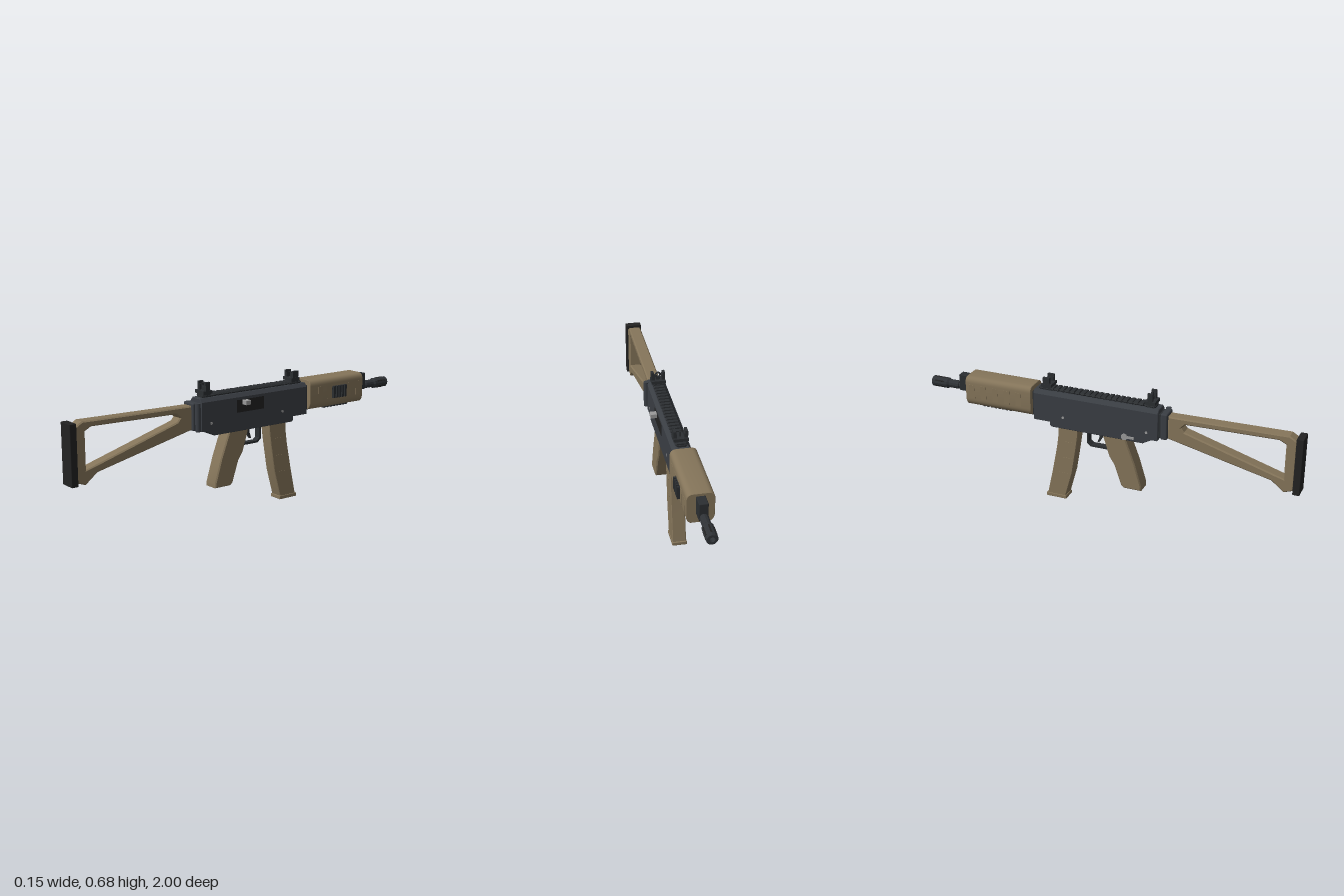
import * as THREE from 'three';
import { RoundedBoxGeometry } from 'three/addons/geometries/RoundedBoxGeometry.js';
import { toCreasedNormals } from 'three/addons/utils/BufferGeometryUtils.js';

const mat = (color, flatShading = false) => new THREE.MeshStandardMaterial({ color, flatShading });
const TAN = mat(0x85755a), STEEL = mat(0x3a3e44), DARK = mat(0x2b2e31), BLACK = mat(0x222222), GREY = mat(0x9a9a9a);
const DARK_FLAT = mat(0x2f3236, true);

export function createModel() {
  const root = new THREE.Group();
  root.name = 'rifle';
  const body = new THREE.Group();
  body.name = 'body';
  body.position.x = -0.007; // centre plane of the body; the bolt handle sticks out on the left
  root.add(body);

  const add = (name, geo, material, parent = body) => {
    const m = new THREE.Mesh(geo, material);
    m.name = name;
    parent.add(m);
    return m;
  };
  // Box given by its limits on each axis
  const box = (name, x, y, z, material, parent, round = 0) => {
    const s = [x, y, z].map(r => Math.abs(r[1] - r[0]));
    const geo = round ? new RoundedBoxGeometry(...s, 2, round) : new THREE.BoxGeometry(...s);
    const m = add(name, geo, material, parent);
    m.position.set(...[x, y, z].map(r => (r[0] + r[1]) / 2));
    return m;
  };
  // Side outline of [z, y] points, extruded across x with bevelled edges; a hole runs the opposite way round
  const side = (name, pts, width, bevel, material, hole) => {
    const v = p => p.map(([z, y]) => new THREE.Vector2(-z, y));
    const shape = new THREE.Shape(v(pts));
    if (hole) shape.holes.push(new THREE.Path(v(hole)));
    const geo = new THREE.ExtrudeGeometry(shape, {
      depth: width - 2 * bevel, bevelEnabled: bevel > 0, bevelSize: bevel,
      bevelThickness: bevel, bevelOffset: -bevel, bevelSegments: 1
    });
    geo.translate(0, 0, -(width - 2 * bevel) / 2).rotateY(Math.PI / 2);
    return add(name, toCreasedNormals(geo, 0.4), material);
  };
  // Cross-section in x, y extruded from z0 to z1
  const section = (name, shape, z0, z1, bevel, material) => {
    const geo = new THREE.ExtrudeGeometry(shape, {
      depth: z1 - z0 - 2 * bevel, bevelEnabled: bevel > 0, bevelSize: bevel,
      bevelThickness: bevel, bevelOffset: -bevel, bevelSegments: 1, curveSegments: 6
    });
    geo.translate(0, 0, z0 + bevel);
    return add(name, toCreasedNormals(geo, 0.5), material);
  };
  const poly = pts => new THREE.Shape(pts.map(p => new THREE.Vector2(...p)));

  // Stock: open frame, butt pad, collar and hinge
  side('stock',
    [[0.968, 0.56], [0.93, 0.583], [0.326, 0.574], [0.326, 0.455], [0.856, 0.332], [0.92, 0.281], [0.968, 0.298]],
    0.064, 0.006, TAN,
    [[0.916, 0.353], [0.866, 0.368], [0.41, 0.505], [0.395, 0.524], [0.415, 0.545], [0.882, 0.553], [0.916, 0.535]]);
  box('buttPad', [-0.042, 0.042], [0.283, 0.58], [0.965, 1], BLACK, body, 0.003);
  box('stockCollar', [-0.042, 0.042], [0.449, 0.588], [0.29, 0.326], STEEL, body, 0.008);
  box('stockCollarNeck', [-0.038, 0.038], [0.46, 0.58], [0.27, 0.295], DARK);
  const hinge = add('stockHinge', new THREE.CylinderGeometry(0.014, 0.014, 0.14, 16), STEEL);
  hinge.position.set(0.048, 0.516, 0.302);

  // Receiver
  section('receiver', poly([[-0.047, 0.44], [0.047, 0.44], [0.047, 0.585], [0.032, 0.604], [-0.032, 0.604], [-0.047, 0.585]]),
    -0.394, 0.28, 0.003, STEEL);
  side('lowerReceiver', [[0.26, 0.445], [0.2, 0.411], [-0.298, 0.411], [-0.305, 0.418], [-0.305, 0.445]], 0.088, 0.003, STEEL);
  box('ejectionPort', [0.04, 0.0485], [0.508, 0.572], [-0.107, 0.064], BLACK);
  box('boltHandle', [0.045, 0.081], [0.547, 0.57], [0, 0.032], GREY, body, 0.002);
  for (const z of [0.22, -0.23]) {
    const pin = add('receiverPin', new THREE.CylinderGeometry(0.007, 0.007, 0.097, 12), GREY);
    pin.rotation.z = Math.PI / 2;
    pin.position.set(0, 0.476, z);
  }
  const pivot = add('selectorPivot', new THREE.CylinderGeometry(0.017, 0.017, 0.012, 16), GREY);
  pivot.rotation.z = Math.PI / 2;
  pivot.position.set(-0.046, 0.432, 0.105);
  box('selectorLever', [-0.052, -0.046], [0.426, 0.438], [0.105, 0.155], GREY);

  // Top rail
  section('railBase', poly([[-0.02, 0.6], [0.02, 0.6], [0.02, 0.606], [0.028, 0.613], [-0.028, 0.613], [-0.02, 0.606]]),
    -0.37, 0.257, 0, DARK);
  const toothShape = poly([[-0.02, 0.603], [0.02, 0.603], [0.031, 0.612], [0.024, 0.62], [-0.024, 0.62], [-0.031, 0.612]]);
  for (let i = 0; i < 22; i++) {
    const z = 0.243 - i * 0.0285;
    section('railTooth', toothShape, z - 0.009, z + 0.009, 0, DARK);
  }

  // Sights: clamp, base and two guard ears, holding a ring or a post
  const sight = (name, z, top, earDepth) => {
    const g = new THREE.Group();
    g.name = name;
    g.position.z = z;
    body.add(g);
    box('sightClamp', [-0.028, 0.028], [0.605, 0.624], [-0.022, 0.022], DARK, g);
    box('sightBase', [-0.036, 0.036], [0.622, 0.638], [-0.027, 0.027], DARK, g);
    for (const s of [-1, 1]) {
      box('sightEar', [s * 0.022, s * 0.035], [0.636, top], [-earDepth, earDepth], DARK, g);
      box('sightEarFoot', [s * 0.018, s * 0.024], [0.636, top - 0.012], [-earDepth, earDepth], DARK, g);
    }
    return g;
  };
  const rear = sight('rearSight', 0.232, 0.68, 0.013);
  box('ringStem', [-0.011, 0.011], [0.636, 0.652], [-0.006, 0.006], DARK, rear);
  add('sightRing', new THREE.TorusGeometry(0.0115, 0.005, 8, 20), DARK, rear).position.y = 0.663;
  const front = sight('frontSight', -0.325, 0.673, 0.018);
  box('sightPost', [-0.004, 0.004], [0.636, 0.664], [-0.004, 0.004], DARK, front);

  // Handguard: rounded top, tapered bottom
  const hg = new THREE.Shape();
  hg.moveTo(-0.046, 0.463);
  hg.lineTo(0.046, 0.463);
  hg.quadraticCurveTo(0.065, 0.475, 0.066, 0.5);
  hg.lineTo(0.066, 0.587);
  hg.quadraticCurveTo(0.065, 0.616, 0.036, 0.618);
  hg.lineTo(-0.036, 0.618);
  hg.quadraticCurveTo(-0.065, 0.616, -0.066, 0.587);
  hg.lineTo(-0.066, 0.5);
  hg.quadraticCurveTo(-0.065, 0.475, -0.046, 0.463);
  section('handguard', hg, -0.772, -0.4, 0.002, TAN);
  box('handguardNeck', [-0.04, 0.04], [0.46, 0.59], [-0.41, -0.385], DARK);
  for (const s of [-1, 1])
    for (const z of [-0.47, -0.535, -0.67, -0.735])
      box('handguardRidge', [s * 0.06, s * 0.0675], [0.505, 0.578], [z - 0.016, z + 0.016], TAN);
  box('handguardRidge', [-0.06, -0.0675], [0.505, 0.578], [-0.618, -0.586], TAN);
  // Accessory rails on the left side and below
  box('sideRail', [0.06, 0.069], [0.515, 0.565], [-0.645, -0.552], DARK);
  for (let i = 0; i < 5; i++) {
    const z = -0.56 - i * 0.0195;
    box('sideRailTooth', [0.06, 0.08], [0.508, 0.572], [z - 0.006, z + 0.006], DARK);
  }
  box('bottomRail', [-0.024, 0.024], [0.457, 0.468], [-0.695, -0.53], DARK);
  for (let i = 0; i < 8; i++) {
    const z = -0.537 - i * 0.0217;
    box('bottomRailTooth', [-0.028, 0.028], [0.45, 0.468], [z - 0.006, z + 0.006], DARK);
  }

  // Gas block, barrel and hollow muzzle device
  box('gasBlock', [-0.022, 0.022], [0.515, 0.604], [-0.834, -0.765], DARK, body, 0.004);
  const barrel = [[0, -0.96], [0.013, -0.96], [0.013, -1], [0.025, -1], [0.028, -0.996], [0.028, -0.91],
    [0.022, -0.9], [0.022, -0.845], [0.018, -0.842], [0.018, -0.76]].map(p => new THREE.Vector2(...p));
  add('barrel', new THREE.LatheGeometry(barrel, 12).rotateX(Math.PI / 2), DARK_FLAT).position.y = 0.535;
  for (let i = 0; i < 6; i++) {
    const a = i * Math.PI / 3;
    const slot = add('muzzleSlot', new THREE.BoxGeometry(0.007, 0.004, 0.055), BLACK);
    slot.position.set(Math.sin(a) * 0.0265, 0.535 + Math.cos(a) * 0.0265, -0.953);
    slot.rotation.z = -a;
  }

  // Pistol grip
  side('pistolGrip', [[0.105, 0.42], [-0.018, 0.42], [0.02, 0.3], [0.048, 0.257], [0.085, 0.148], [0.098, 0.136],
    [0.194, 0.136], [0.194, 0.16], [0.157, 0.283]], 0.082, 0.006, TAN);

  // Curved magazine with ribs and base plate
  side('magazine', [[-0.153, 0.43], [-0.262, 0.43], [-0.265, 0.36], [-0.273, 0.3], [-0.3, 0.16], [-0.331, 0.015],
    [-0.23, 0.015], [-0.19, 0.16], [-0.167, 0.3], [-0.157, 0.37]], 0.069, 0.003, TAN);
  box('magazineBase', [-0.037, 0.037], [0, 0.019], [-0.337, -0.225], TAN, body, 0.003);
  for (const [y, z] of [[0.332, -0.205], [0.24, -0.218], [0.15, -0.24]])
    box('magazineRib', [-0.036, 0.036], [y - 0.004, y + 0.004], [z - 0.027, z + 0.027], TAN);

  // Trigger guard and trigger
  side('triggerGuard', [[0.022, 0.338], [0.018, 0.326], [-0.09, 0.326], [-0.112, 0.345], [-0.112, 0.43],
    [-0.102, 0.43], [-0.102, 0.35], [-0.086, 0.336]], 0.034, 0, DARK);
  side('trigger', [[-0.025, 0.42], [-0.03, 0.385], [-0.048, 0.353], [-0.057, 0.353], [-0.046, 0.385], [-0.043, 0.42]],
    0.014, 0, DARK);

  return root;
}
